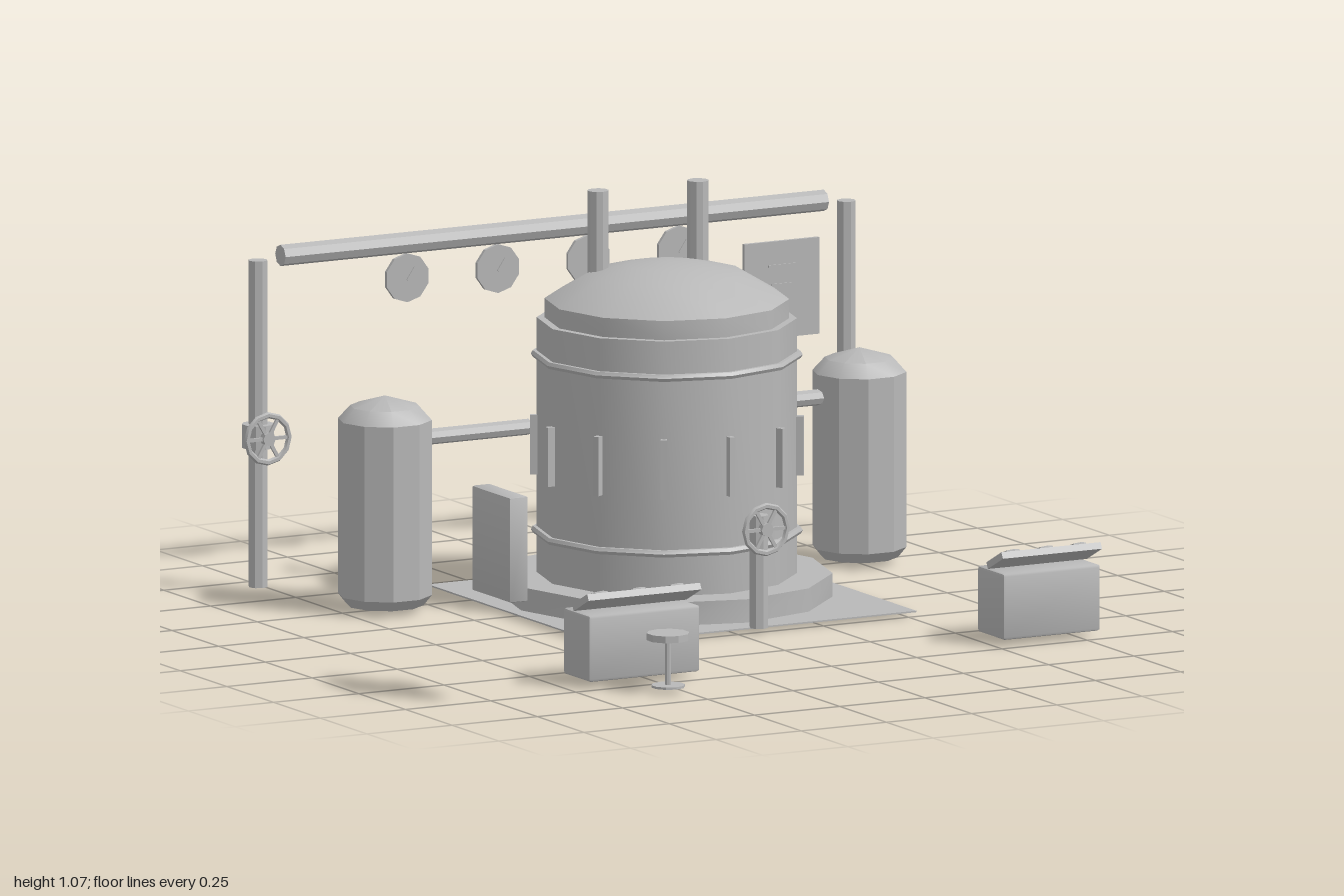
import * as THREE from 'three';
import { toCreasedNormals } from 'three/addons/utils/BufferGeometryUtils.js';
import { RoundedBoxGeometry } from 'three/addons/geometries/RoundedBoxGeometry.js';

export function createModel() {
  const root = new THREE.Group();
  root.name = 'boilerRoom';
  const grey = new THREE.MeshStandardMaterial({ color: 0xb8b8b8 });
  grey.name = 'plainGrey';

  const add = (name, geo, x = 0, y = 0, z = 0, parent = root) => {
    const mesh = new THREE.Mesh(toCreasedNormals(geo, 0.6), grey);
    mesh.name = name;
    mesh.position.set(x, y, z);
    parent.add(mesh);
    return mesh;
  };
  const box = (name, w, h, d, x, y, z, parent) =>
    add(name, new THREE.BoxGeometry(w, h, d), x, y, z, parent);
  const cyl = (name, r, h, sides, x, y, z, parent) =>
    add(name, new THREE.CylinderGeometry(r, r, h, sides), x, y, z, parent);
  const lathe = (name, pts, sides, x, z, start = 0) =>
    add(name, new THREE.LatheGeometry(pts.map(p => new THREE.Vector2(...p)), sides, start), x, 0, z);
  const group = (name, x, y, z) => {
    const g = new THREE.Group();
    g.name = name;
    g.position.set(x, y, z);
    root.add(g);
    return g;
  };

  const CX = 0.063, CZ = -0.247;

  // Floor plate and boiler
  box('floorPlate', 0.925, 0.004, 0.925, CX, 0.015, -0.218);
  cyl('boilerBase', 0.427, 0.062, 12, CX, 0.047, CZ);
  lathe('boilerBody', [
    [0.335, 0.07], [0.335, 0.745], [0.315, 0.745], [0.315, 0.795],
    [0.2, 0.863], [0.1, 0.885], [0, 0.893],
  ], 12, CX, CZ);
  for (const y of [0.19, 0.65]) {
    const band = add('boilerBand', new THREE.TorusGeometry(0.34, 0.01, 6, 12), CX, y, CZ);
    band.rotation.x = Math.PI / 2;
  }
  for (let i = 0; i < 12; i++) {
    const a = i * Math.PI / 6;
    const rib = box('boilerRib', 0.016, 0.155, 0.025,
      CX + Math.sin(a) * 0.34, 0.412, CZ + Math.cos(a) * 0.34);
    rib.rotation.y = a;
  }
  for (const x of [-0.083, 0.21]) cyl('chimney', 0.028, 0.26, 10, x, 0.945, -0.349);

  // Side tanks with their pipes to the boiler
  for (const s of [-1, 1]) {
    const x = CX + s * 0.696;
    lathe('sideTank', [
      [0, 0.003], [0.1, 0.018], [0.122, 0.045], [0.122, 0.503], [0.09, 0.538], [0, 0.565],
    ], 10, x, -0.486, Math.PI / 2);
    const pipe = cyl('tankPipe', 0.021, 0.31, 8, CX + s * 0.43, 0.445, -0.486);
    pipe.rotation.z = Math.PI / 2;
  }

  // Hand wheel facing the front
  const wheel = (x, y, z) => {
    const g = group('valveWheel', x, y, z);
    add('wheelRim', new THREE.TorusGeometry(0.062, 0.008, 6, 12), 0, 0, 0, g);
    for (let i = 0; i < 3; i++) {
      const spoke = box('wheelSpoke', 0.12, 0.009, 0.007, 0, 0, 0, g);
      spoke.rotation.z = i * Math.PI / 3;
    }
    const hub = cyl('wheelHub', 0.018, 0.02, 8, 0, 0, 0, g);
    hub.rotation.x = Math.PI / 2;
    const stem = cyl('wheelStem', 0.01, 0.05, 8, 0, 0, -0.025, g);
    stem.rotation.x = Math.PI / 2;
  };

  // Rear posts with valves, and the overhead pipe
  for (const x of [-0.8, 0.926]) {
    cyl('rearPost', 0.025, 0.855, 8, x, 0.445, -0.861);
    cyl('valveCollar', 0.042, 0.062, 10, x, 0.413, -0.861);
    wheel(x, 0.413, -0.808);
  }
  const overhead = cyl('overheadPipe', 0.028, 1.594, 8, 0.064, 0.878, -0.863);
  overhead.rotation.z = Math.PI / 2;

  // Short front valve
  cyl('frontPost', 0.025, 0.295, 8, CX, 0.163, 0.246);
  wheel(CX, 0.278, 0.284);

  // Gauges with needles
  for (let i = 0; i < 4; i++) {
    const x = -0.336 + i * 0.266;
    const dial = cyl('gauge', 0.064, 0.01, 10, x, 0.776, -0.912);
    dial.rotation.x = Math.PI / 2;
    const needle = box('gaugeNeedle', 0.006, 0.04, 0.004, x + 0.01, 0.786, -0.906);
    needle.rotation.z = -0.6;
  }

  // Notice board
  box('noticeBoard', 0.22, 0.253, 0.01, 0.762, 0.647, -0.912);
  for (const [w, y] of [[0.08, 0.71], [0.06, 0.66]])
    box('boardMark', w, 0.006, 0.004, 0.762, y, -0.906);

  // Control desks with tilted panels
  for (const [x, w] of [[-0.535, 0.326], [0.66, 0.286]]) {
    add('deskBody', new RoundedBoxGeometry(w, 0.174, 0.142, 1, 0.008), x, 0.106, 0.656);
    const panel = group('deskPanel', x, 0.222, 0.684);
    panel.rotation.x = -0.46;
    box('panelPlate', w + 0.005, 0.018, 0.09, 0, 0, 0, panel);
    for (let i = -1; i <= 1; i++)
      cyl('panelDial', 0.026, 0.01, 8, i * w * 0.34, 0.013, 0.004, panel);
  }

  // Stool
  cyl('stoolSeat', 0.056, 0.018, 10, -0.537, 0.148, 0.855);
  cyl('stoolStem', 0.008, 0.13, 8, -0.537, 0.08, 0.855);
  cyl('stoolFoot', 0.044, 0.006, 10, -0.537, 0.018, 0.855);

  // Wall cabinet facing the boiler side
  add('cabinet', new RoundedBoxGeometry(0.055, 0.275, 0.206, 1, 0.006), -0.9725, 0.413, 0.75);
  box('cabinetHandle', 0.02, 0.08, 0.026, -0.936, 0.333, 0.673);
  for (let i = 0; i < 4; i++)
    box('cabinetSwitch', 0.008, 0.065, 0.016, -0.942, 0.41, 0.69 + i * 0.04);
  box('cabinetLabel', 0.008, 0.025, 0.12, -0.942, 0.515, 0.75);

  return root;
}
